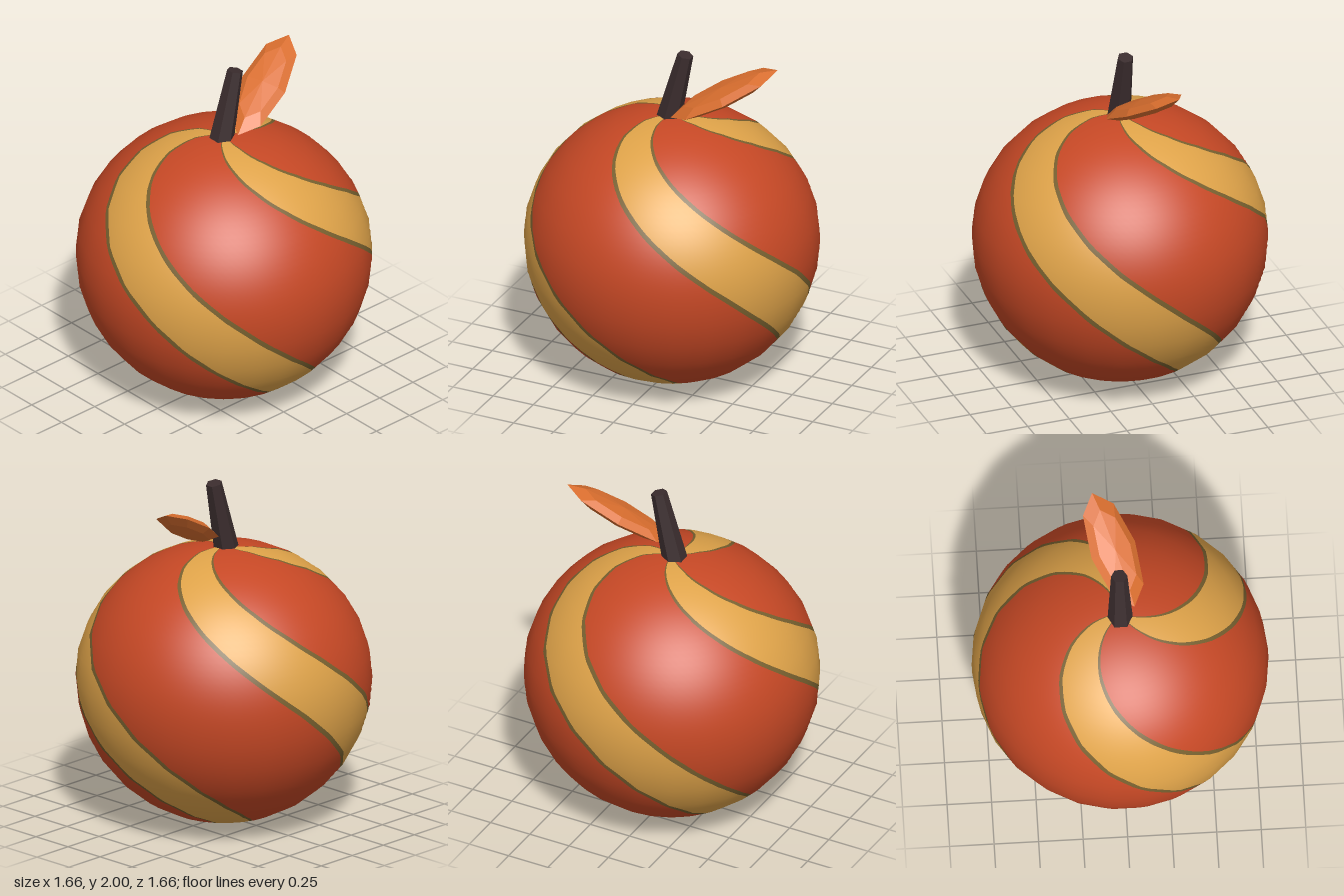
import * as THREE from 'three';

const mat = (name, color, flatShading = false) => {
  const m = new THREE.MeshStandardMaterial({ color, flatShading });
  m.name = name;
  return m;
};

const RINGS = 16, SIDES = 26, R = 0.835, MID = 0.83;
const TWIST = 1.16; // degrees of longitude per degree of descent

// Corner of the faceted body: ring i from the top, side j from the front
function corner(i, j) {
  const t = (i / RINGS) * Math.PI, p = (j / SIDES) * Math.PI * 2;
  const c = Math.cos(t), r = R * Math.sin(t);
  return new THREE.Vector3(r * Math.sin(p), MID + c * (c > 0 ? 0.77 : 0.83), r * Math.cos(p));
}

// Any point on the facets, from longitude and angle below the top (degrees)
function surface(lon, down) {
  const u = (lon / 360) * SIDES, v = (down / 180) * RINGS;
  const j = Math.floor(u), i = Math.min(Math.floor(v), RINGS - 1);
  const a = corner(i, j).lerp(corner(i, j + 1), u - j);
  const b = corner(i + 1, j).lerp(corner(i + 1, j + 1), u - j);
  return a.lerp(b, v - i);
}

// Twisted gore running from the top to the bottom, between two longitudes
function gore(from, to, cols) {
  const rows = RINGS * 4, pos = [], nor = [], idx = [];
  for (let i = 0; i <= rows; i++) {
    const down = (i / rows) * 180;
    for (let j = 0; j <= cols; j++) {
      const lon = from + ((to - from) * j) / cols + TWIST * (down - 90);
      const p = surface(lon, down);
      const h = p.y > MID ? 0.77 : 0.83;
      const n = new THREE.Vector3(p.x / (R * R), (p.y - MID) / (h * h), p.z / (R * R)).normalize();
      pos.push(p.x, p.y, p.z);
      nor.push(n.x, n.y, n.z);
      if (i < rows && j < cols) {
        const a = i * (cols + 1) + j, b = a + cols + 1;
        idx.push(a, b, b + 1, a, b + 1, a + 1);
      }
    }
  }
  const g = new THREE.BufferGeometry();
  g.setAttribute('position', new THREE.Float32BufferAttribute(pos, 3));
  g.setAttribute('normal', new THREE.Float32BufferAttribute(nor, 3));
  g.setIndex(idx);
  return g;
}

export function createModel() {
  const model = new THREE.Group();
  model.name = 'stripedFruit';
  const red = mat('redSkin', 0xc64825);
  const gold = mat('goldStripe', 0xdfa349);
  const olive = mat('oliveEdge', 0x77602f);
  const bark = mat('darkStem', 0x3b2d2e, true);
  const orange = mat('orangeLeaf', 0xd96e2e, true);

  const add = (parent, name, geometry, material) => {
    const mesh = new THREE.Mesh(geometry, material);
    mesh.name = name;
    parent.add(mesh);
    return mesh;
  };

  // Round body: three spiral stripes with thin dark edges
  const body = new THREE.Group();
  body.name = 'body';
  model.add(body);
  for (let k = 0; k < 3; k++) {
    const s = 45 + k * 120;
    add(body, 'stripeLowerEdge', gore(s, s + 3, 2), olive);
    add(body, 'stripe', gore(s + 3, s + 37, 10), gold);
    add(body, 'stripeUpperEdge', gore(s + 37, s + 40, 2), olive);
    add(body, 'skin', gore(s + 40, s + 120, 22), red);
  }

  // Leaning six-sided stem
  const base = new THREE.Vector3(-0.02, 1.57, 0), top = new THREE.Vector3(0.083, 1.989, 0);
  const stem = add(model, 'stem', new THREE.CylinderGeometry(0.046, 0.072, base.distanceTo(top), 6), bark);
  stem.position.copy(base).lerp(top, 0.5);
  stem.rotation.z = -Math.atan2(top.x - base.x, top.y - base.y);

  // Faceted leaf: a flattened low-poly ellipsoid rising to the side
  const along = new THREE.Vector3(0.285, 0.166, -0.103);
  const across = new THREE.Vector3(0.05, -0.015, 0.125);
  const thick = across.clone().cross(along).normalize().multiplyScalar(0.045);
  const leaf = new THREE.SphereGeometry(1, 8, 4);
  leaf.applyMatrix4(new THREE.Matrix4().makeBasis(along, thick, across).setPosition(0.315, 1.786, -0.02));
  add(model, 'leaf', leaf, orange);

  return model;
}
